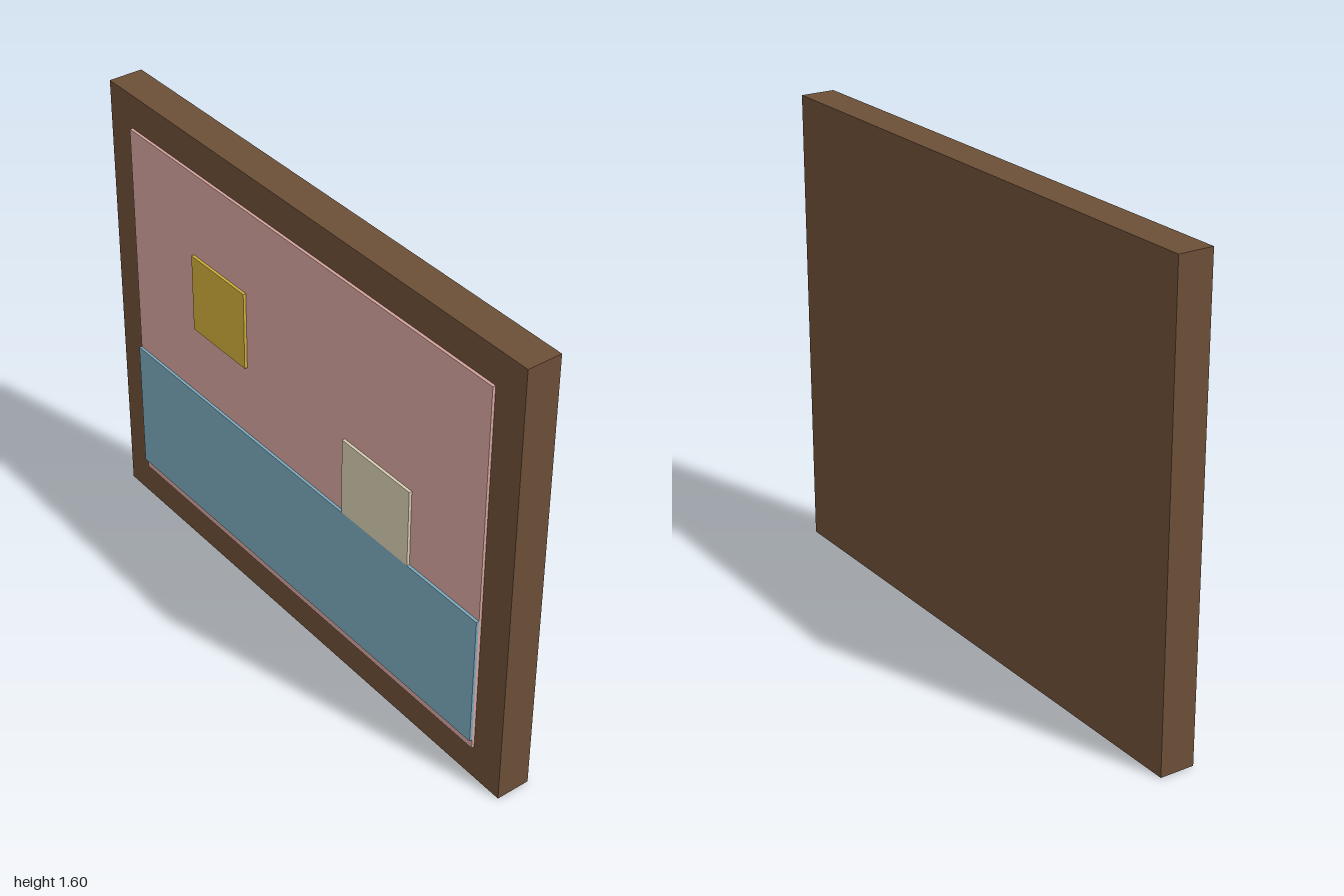
import * as THREE from 'three';

const paint = (name, color) => {
  const m = new THREE.MeshStandardMaterial({ color });
  m.name = name;
  return m;
};

export function createModel() {
  const wood = paint('brown wood', 0x6b4e37);
  const pink = paint('pink sky', 0xd4a29c);
  const blue = paint('blue water', 0x7aa6bb);
  const gold = paint('gold', 0xcdab39);
  const cream = paint('cream', 0xd4cab0);

  const model = new THREE.Group();
  model.name = 'framedPicture';

  // Box given by its limits on each axis
  const slab = (name, material, [x0, x1], [y0, y1], [z0, z1]) => {
    const mesh = new THREE.Mesh(new THREE.BoxGeometry(x1 - x0, y1 - y0, z1 - z0), material);
    mesh.position.set((x0 + x1) / 2, (y0 + y1) / 2, (z0 + z1) / 2);
    mesh.name = name;
    model.add(mesh);
  };

  // Solid wooden board whose border forms the frame
  slab('frame', wood, [-1, 1], [0, 1.6], [-0.07, 0.05]);

  // Raised canvas, then the painted shapes in low relief on it
  const relief = [0.06, 0.07];
  slab('canvas', pink, [-0.88, 0.88], [0.125, 1.48], [0.05, 0.06]);
  slab('water', blue, [-0.88, 0.88], [0.16, 0.64], relief);
  slab('sun', gold, [-0.54, -0.26], [0.9, 1.18], relief);
  slab('sail', cream, [0.24, 0.56], [0.64, 0.92], relief);

  return model;
}
